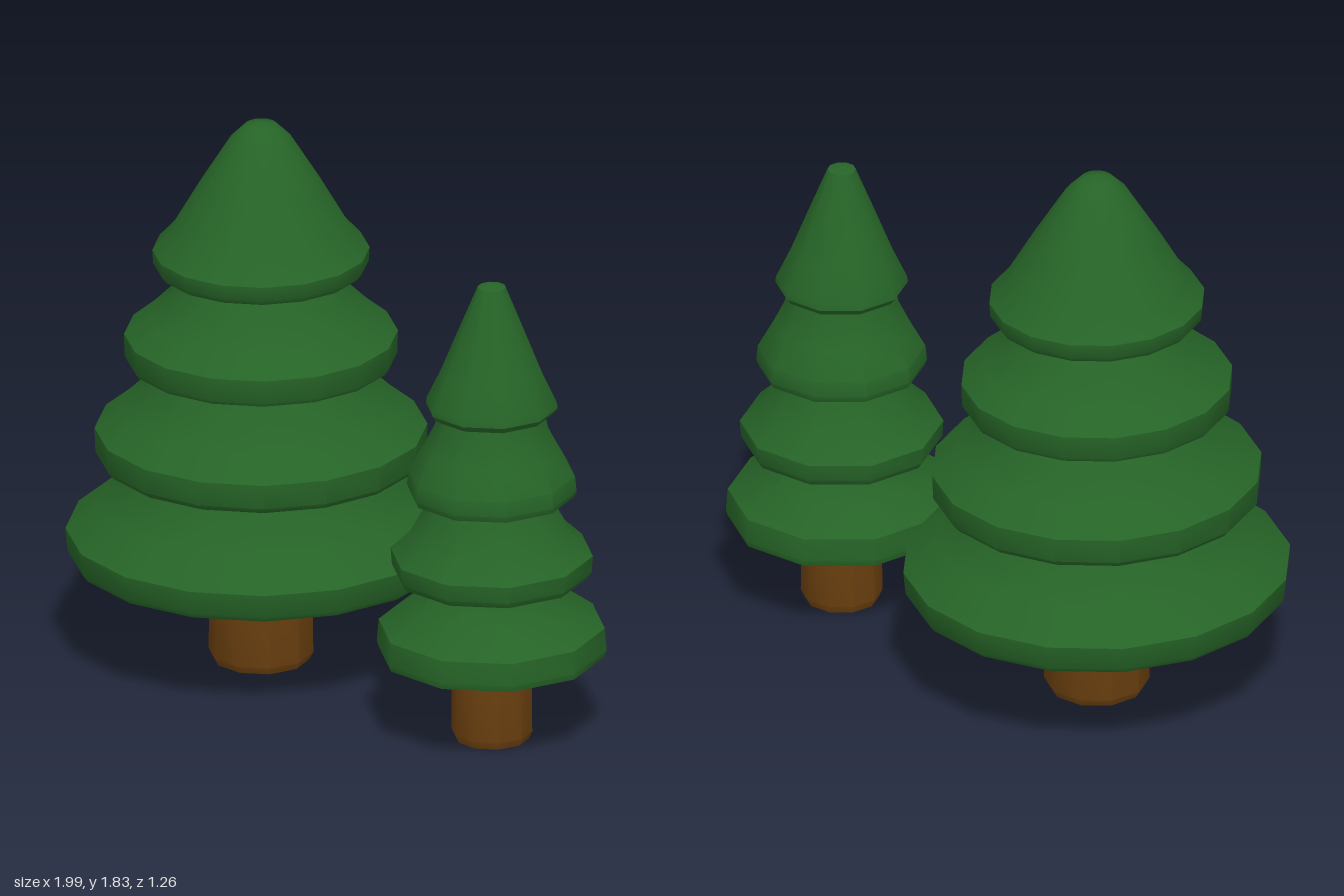
import * as THREE from 'three';
import { toCreasedNormals } from 'three/addons/utils/BufferGeometryUtils.js';

const needles = new THREE.MeshStandardMaterial({ color: 0x266427 });
needles.name = 'needle green';
const bark = new THREE.MeshStandardMaterial({ color: 0x6b400f });
bark.name = 'bark brown';

// Faceted solid of revolution from [radius, height] points, listed bottom to top
function turned(name, points, sides, material) {
  const profile = points.map(([r, y]) => new THREE.Vector2(r, y));
  const lathe = new THREE.LatheGeometry(profile, sides, Math.PI / 2);
  const mesh = new THREE.Mesh(toCreasedNormals(lathe, 0.7), material);
  mesh.name = name;
  return mesh;
}

function makeTree({ name, x, sides, trunk, tiers }) {
  const tree = new THREE.Group();
  tree.name = name;
  tree.position.x = x;

  // Trunk with a softened foot
  const { radius: r, top } = trunk;
  tree.add(turned('trunk', [[0, 0], [r * 0.92, 0], [r, 0.025], [r * 0.98, top], [0, top]], 10, bark));

  // Stacked skirts of branches: flat underside, upright rim, hollowed slope
  tiers.forEach((points, i) => {
    const tier = turned(`branchTier${i + 1}`, [[0, points[0][1]], ...points], sides, needles);
    tier.scale.z = 1.02;
    tree.add(tier);
  });
  return tree;
}

export function createModel() {
  const model = new THREE.Group();
  model.name = 'pineTrees';

  model.add(makeTree({
    name: 'largeTree', x: -0.384, sides: 16,
    trunk: { radius: 0.168, top: 0.4 },
    tiers: [
      [[0.595, 0.355], [0.61, 0.375], [0.617, 0.45], [0.51, 0.54], [0.43, 0.62], [0.395, 0.72], [0, 0.72]],
      [[0.505, 0.69], [0.522, 0.71], [0.525, 0.79], [0.44, 0.86], [0.36, 0.94], [0.315, 1.04], [0, 1.04]],
      [[0.42, 1.02], [0.43, 1.035], [0.432, 1.11], [0.36, 1.17], [0.28, 1.25], [0.235, 1.35], [0, 1.35]],
      [[0.325, 1.33], [0.34, 1.35], [0.343, 1.395], [0.29, 1.455], [0.2, 1.61], [0.1, 1.77], [0.05, 1.82], [0, 1.83]],
    ],
  }));

  model.add(makeTree({
    name: 'smallTree', x: 0.627, sides: 10,
    trunk: { radius: 0.13, top: 0.33 },
    tiers: [
      [[0.36, 0.29], [0.366, 0.31], [0.36, 0.385], [0.26, 0.46], [0.22, 0.52], [0.21, 0.58], [0, 0.58]],
      [[0.305, 0.555], [0.318, 0.575], [0.322, 0.63], [0.26, 0.69], [0.205, 0.79], [0.18, 0.86], [0, 0.86]],
      [[0.262, 0.83], [0.27, 0.85], [0.265, 0.9], [0.215, 0.99], [0.18, 1.06], [0.165, 1.13], [0, 1.13]],
      [[0.195, 1.11], [0.21, 1.13], [0.207, 1.15], [0.16, 1.25], [0.1, 1.4], [0.045, 1.535], [0, 1.55]],
    ],
  }));

  return model;
}
